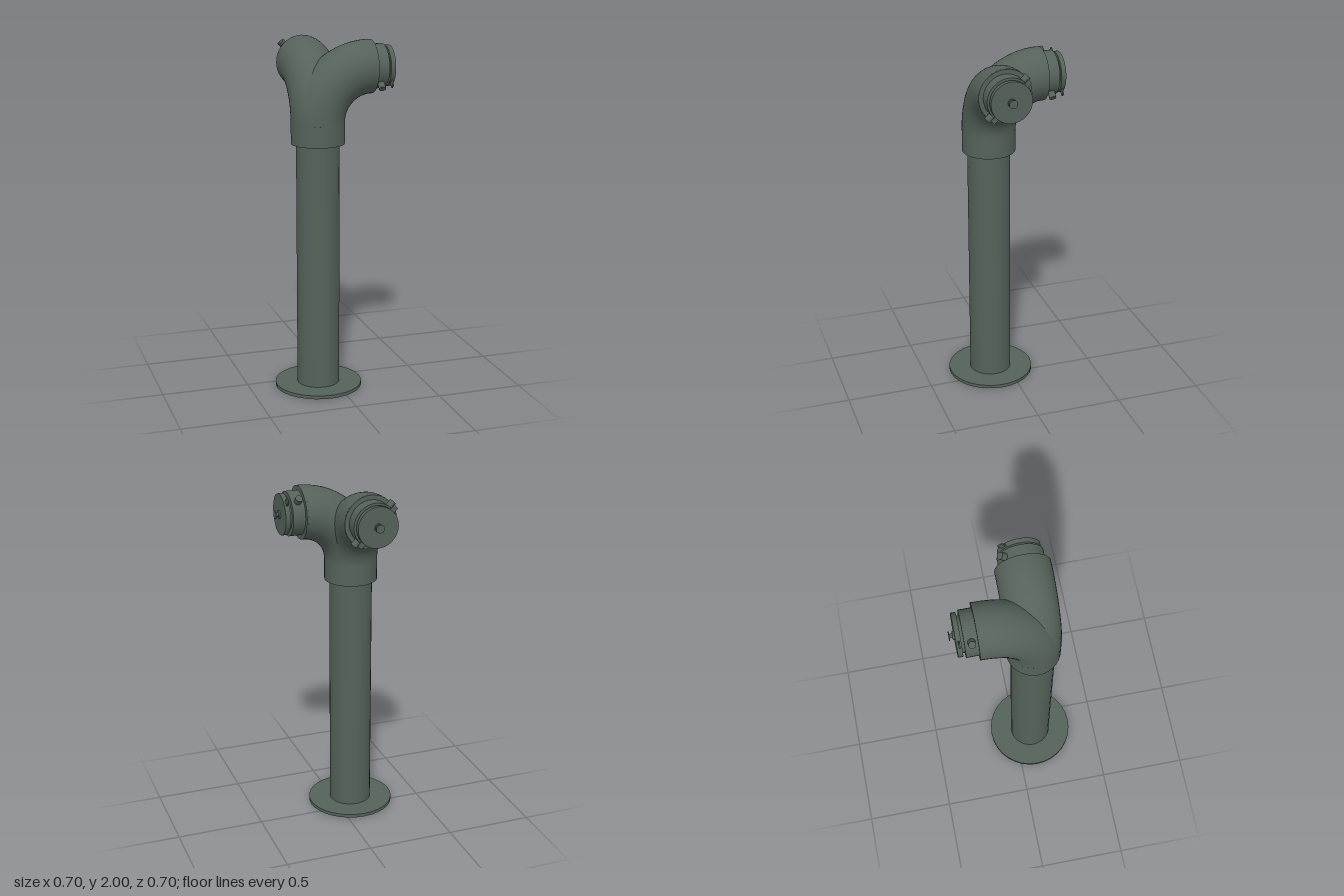
import * as THREE from 'three';

const PIPE_R = 0.122, ELBOW_R = 0.151, BEND_R = 0.3;
const AXIS_Y = 1.849, BEND_Y = AXIS_Y - BEND_R, COLLAR_Y = 1.43;
const OFFSET = 0.0985; // the column stands off centre by this much in x and z

const material = new THREE.MeshStandardMaterial({ color: 0x55625a });

function add(parent, name, geometry) {
  const mesh = new THREE.Mesh(geometry, material);
  mesh.name = name;
  parent.add(mesh);
  return mesh;
}

// Upright cylinder between two heights
function upright(parent, name, radius, y0, y1) {
  const geometry = new THREE.CylinderGeometry(radius, radius, y1 - y0, 32);
  return add(parent, name, geometry.translate(0, (y0 + y1) / 2, 0));
}

// Cylinder lying along x between two distances from the column axis
function along(parent, name, radius, x0, x1) {
  const geometry = new THREE.CylinderGeometry(radius, radius, x1 - x0, 32);
  geometry.rotateZ(-Math.PI / 2).translate((x0 + x1) / 2, 0, 0);
  return add(parent, name, geometry);
}

// Capped outlet, pointing along +x
function createCoupling() {
  const coupling = new THREE.Group();
  coupling.name = 'coupling';
  along(coupling, 'couplingRing', 0.125, 0.3, 0.378);
  along(coupling, 'couplingNeck', 0.097, 0.375, 0.392);
  along(coupling, 'cap', 0.116, 0.391, 0.418);
  along(coupling, 'knobBase', 0.023, 0.416, 0.427);
  along(coupling, 'knobStem', 0.011, 0.425, 0.443);
  along(coupling, 'knobDisc', 0.024, 0.442, 0.4465);

  // Opposite pairs of round pegs on the ring and flat lugs on the cap
  for (const angle of [-Math.PI / 4, Math.PI * 3 / 4]) {
    const lugs = new THREE.Group();
    lugs.name = 'lugPair';
    lugs.rotation.x = angle;
    const peg = new THREE.CylinderGeometry(0.02, 0.02, 0.06, 20);
    add(lugs, 'ringPeg', peg.translate(0.341, 0.13, 0));
    const tab = new THREE.BoxGeometry(0.008, 0.05, 0.03);
    add(lugs, 'capLug', tab.translate(0.404, 0.122, 0));
    coupling.add(lugs);
  }
  return coupling;
}

// Quarter bend with its coupling
function createOutlet(name) {
  const outlet = new THREE.Group();
  outlet.name = name;
  const bend = new THREE.TorusGeometry(BEND_R, ELBOW_R, 40, 32, Math.PI / 2);
  bend.rotateZ(Math.PI / 2).translate(BEND_R, BEND_Y, 0);
  add(outlet, 'elbowBend', bend);
  const end = along(outlet, 'elbowEnd', ELBOW_R, BEND_R, OFFSET + 0.21);
  end.position.y = AXIS_Y;
  const coupling = createCoupling();
  coupling.position.y = AXIS_Y;
  outlet.add(coupling);
  return outlet;
}

export function createModel() {
  const model = new THREE.Group();
  model.name = 'standpipe';
  const body = new THREE.Group();
  body.name = 'body';
  body.position.set(-OFFSET, 0, OFFSET);
  model.add(body);

  // Base plate, column and collar
  upright(body, 'basePlate', 0.25, 0, 0.02);
  upright(body, 'column', PIPE_R, 0.02, COLLAR_Y + 0.05);
  upright(body, 'collar', ELBOW_R, COLLAR_Y, BEND_Y);

  // Two outlets at a right angle: one to the side, one to the back
  body.add(createOutlet('sideOutlet'));
  const back = createOutlet('backOutlet');
  back.rotation.y = Math.PI / 2;
  body.add(back);
  return model;
}
